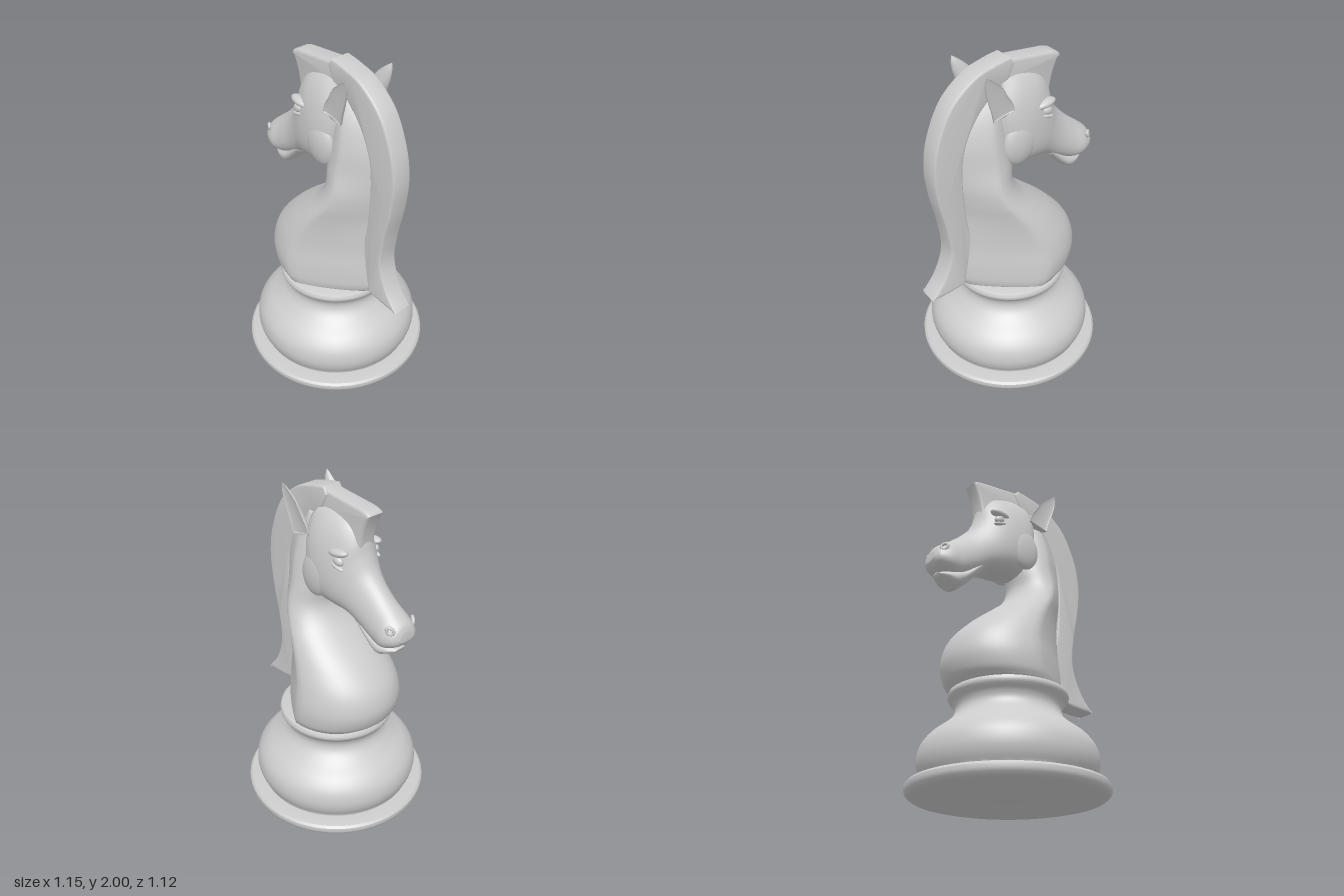
import * as THREE from 'three';
import { toCreasedNormals } from 'three/addons/utils/BufferGeometryUtils.js';

const material = new THREE.MeshStandardMaterial({ color: 0xcccccc });

// Smooth closed loft. Each station: [topX, topY, bottomX, bottomY, halfWidth].
// skew moves the widest point towards the top edge, pinch hollows the bottom half.
function loft(stations, { skew = 0, pinch = 0, rows = 48, sides = 40 } = {}) {
  const top = new THREE.CatmullRomCurve3(stations.map(s => new THREE.Vector3(s[0], s[1], s[4])), false, 'catmullrom');
  const bottom = new THREE.CatmullRomCurve3(stations.map(s => new THREE.Vector3(s[2], s[3], 0)), false, 'catmullrom');
  const pos = [], index = [];
  for (let i = 0; i <= rows; i++) {
    const t = top.getPoint(i / rows), b = bottom.getPoint(i / rows);
    for (let j = 0; j < sides; j++) {
      const a = (j / sides) * Math.PI * 2, c = Math.cos(a), s = Math.sin(a);
      const p = (c + skew * s * s + 1) / 2;
      const z = t.z * s * (1 - pinch * Math.max(0, -c));
      pos.push(b.x + (t.x - b.x) * p, b.y + (t.y - b.y) * p, z);
    }
  }
  for (let i = 0; i < rows; i++) {
    for (let j = 0; j < sides; j++) {
      const a = i * sides + j, b = i * sides + (j + 1) % sides;
      index.push(a, b, a + sides, b, b + sides, a + sides);
    }
  }
  // End caps
  const first = stations[0], last = stations[stations.length - 1], n = (rows + 1) * sides;
  for (const s of [first, last]) pos.push((s[0] + s[2]) / 2, (s[1] + s[3]) / 2, 0);
  for (let j = 0; j < sides; j++) {
    const k = (j + 1) % sides, r = rows * sides;
    index.push(n, k, j, n + 1, r + j, r + k);
  }
  const geo = new THREE.BufferGeometry();
  geo.setAttribute('position', new THREE.Float32BufferAttribute(pos, 3));
  geo.setIndex(index);
  geo.computeVertexNormals();
  return geo;
}

// Flat slab with softened edges, centred on z = 0
function slab(shape, halfWidth, bevel) {
  const geo = new THREE.ExtrudeGeometry(shape, {
    depth: 2 * (halfWidth - bevel), curveSegments: 48, bevelSegments: 3,
    bevelSize: bevel, bevelThickness: bevel, bevelOffset: -bevel,
  });
  geo.translate(0, 0, bevel - halfWidth);
  return toCreasedNormals(geo, 0.6);
}

function mirrorZ(geo) {
  const copy = geo.clone().scale(1, 1, -1);
  const idx = copy.index.array;
  for (let i = 0; i < idx.length; i += 3) [idx[i], idx[i + 1]] = [idx[i + 1], idx[i]];
  copy.computeVertexNormals();
  return copy;
}

function ellipsoid(x, y, z, rx, ry, rz, tilt = 0) {
  return new THREE.SphereGeometry(1, 24, 16).scale(rx, ry, rz).rotateZ(tilt).translate(x, y, z);
}

const v2 = pts => pts.map(p => new THREE.Vector2(...p));

export function createModel() {
  const model = new THREE.Group();
  const add = (name, geo) => {
    const mesh = new THREE.Mesh(geo, material);
    mesh.name = name;
    model.add(mesh);
  };
  const addPair = (name, geo) => {
    add(name + 'Left', geo);
    add(name + 'Right', mirrorZ(geo));
  };

  // Turned base: foot disc, bulging body, waist and collar
  const bulge = new THREE.SplineCurve(v2([
    [0.47, 0.1], [0.494, 0.15], [0.503, 0.21], [0.488, 0.28], [0.44, 0.345], [0.37, 0.4],
    [0.32, 0.45], [0.302, 0.495], [0.312, 0.535], [0.338, 0.565], [0.345, 0.585], [0.338, 0.605],
  ])).getPoints(48);
  const foot = v2([[0, 0.005], [0.49, 0.005], [0.535, 0.015], [0.555, 0.03], [0.562, 0.05],
    [0.56, 0.07], [0.548, 0.083], [0.52, 0.088], [0.47, 0.09]]);
  const base = new THREE.LatheGeometry([...foot, ...bulge, ...v2([[0.32, 0.612], [0, 0.615]])], 72);
  add('base', toCreasedNormals(base.translate(-0.016, 0, 0), 0.6));

  // Chest and neck: [y, front x, back x, half width]
  const neck = [
    [0.61, -0.345, 0.34, 0.325], [0.66, -0.395, 0.355, 0.341], [0.76, -0.42, 0.35, 0.342],
    [0.88, -0.385, 0.335, 0.32], [1.0, -0.28, 0.33, 0.288], [1.1, -0.16, 0.33, 0.258],
    [1.2, -0.045, 0.345, 0.225], [1.3, 0.01, 0.36, 0.195], [1.42, 0.0, 0.365, 0.166],
    [1.56, 0.02, 0.35, 0.142], [1.7, 0.04, 0.29, 0.112], [1.84, 0.06, 0.18, 0.07],
  ].map(([y, front, back, w]) => [front, y, back, y, w]);
  add('neck', loft(neck, { skew: 0.05, pinch: 0.5, rows: 64, sides: 56 }));

  // Head from upper lip to poll
  add('head', loft([
    [-0.565, 1.36, -0.57, 1.3, 0.05], [-0.548, 1.395, -0.54, 1.265, 0.09],
    [-0.5, 1.435, -0.47, 1.235, 0.115], [-0.43, 1.49, -0.4, 1.238, 0.11],
    [-0.36, 1.555, -0.3, 1.285, 0.11], [-0.305, 1.62, -0.2, 1.335, 0.125],
    [-0.27, 1.7, -0.09, 1.35, 0.15], [-0.245, 1.79, 0.02, 1.37, 0.165],
    [-0.18, 1.87, 0.1, 1.46, 0.165], [-0.06, 1.91, 0.125, 1.6, 0.14],
    [0.06, 1.91, 0.125, 1.72, 0.09],
  ], { skew: -0.25, rows: 64 }));

  // Lower lip and chin
  add('lowerJaw', loft([
    [-0.53, 1.238, -0.515, 1.213, 0.035], [-0.49, 1.25, -0.46, 1.185, 0.07],
    [-0.43, 1.27, -0.41, 1.165, 0.085], [-0.36, 1.3, -0.35, 1.21, 0.085],
    [-0.25, 1.4, -0.26, 1.305, 0.09],
  ], { rows: 32 }));

  // Face details
  addPair('cheek', ellipsoid(0.0, 1.53, 0.125, 0.11, 0.14, 0.05, 0.2));
  addPair('eye', ellipsoid(-0.175, 1.665, 0.13, 0.034, 0.026, 0.022, 0.3));
  addPair('brow', ellipsoid(-0.165, 1.708, 0.122, 0.068, 0.024, 0.036, -0.15));
  addPair('lowerLid', ellipsoid(-0.17, 1.635, 0.135, 0.05, 0.012, 0.018, 0.25));
  addPair('nostril', new THREE.TorusGeometry(0.021, 0.01, 10, 24).scale(1, 0.8, 1)
    .rotateZ(0.7).rotateY(-0.65).translate(-0.523, 1.375, 0.085));

  // Ears: leaf-shaped and hollow on the outer side
  const ear = loft([
    [0.05, 1.74, 0.18, 1.71, 0.05], [0.065, 1.79, 0.195, 1.77, 0.05], [0.1, 1.845, 0.212, 1.82, 0.045],
    [0.14, 1.91, 0.234, 1.89, 0.034], [0.195, 1.96, 0.242, 1.945, 0.02], [0.234, 1.987, 0.238, 1.983, 0.003],
  ], { rows: 28, sides: 28 });
  const p = ear.attributes.position;
  for (let i = 0; i < p.count; i++) {
    const z = p.getZ(i), lift = (p.getY(i) - 1.74) * 0.06;
    p.setZ(i, (z > 0 ? -0.25 * z : z) + 0.145 + lift);
  }
  ear.computeVertexNormals();
  addPair('ear', ear);

  // Mane crest down the back of the neck, flaring at the tail end
  const mane = new THREE.Shape();
  mane.moveTo(0.572, 0.605);
  mane.splineThru(v2([[0.485, 0.72], [0.432, 0.875], [0.445, 1.05], [0.488, 1.26], [0.505, 1.45],
    [0.475, 1.63], [0.385, 1.82], [0.245, 1.94], [0.12, 1.982], [0.02, 2.0]]));
  mane.lineTo(-0.01, 1.96);
  mane.lineTo(0.03, 1.88);
  mane.splineThru(v2([[0.2, 1.75], [0.3, 1.58], [0.33, 1.4], [0.32, 1.13], [0.29, 0.92],
    [0.32, 0.76], [0.345, 0.63]]));
  mane.quadraticCurveTo(0.44, 0.605, 0.572, 0.605);
  add('mane', slab(mane, 0.062, 0.012));

  // Forelock standing over the brow
  const forelock = new THREE.Shape();
  forelock.moveTo(-0.315, 1.93);
  forelock.quadraticCurveTo(-0.3, 1.95, -0.24, 1.957);
  forelock.lineTo(0.03, 1.985);
  forelock.lineTo(0.08, 1.88);
  forelock.lineTo(0, 1.74);
  forelock.lineTo(-0.25, 1.7);
  forelock.quadraticCurveTo(-0.255, 1.83, -0.315, 1.93);
  add('forelock', slab(forelock, 0.056, 0.018));

  return model;
}
